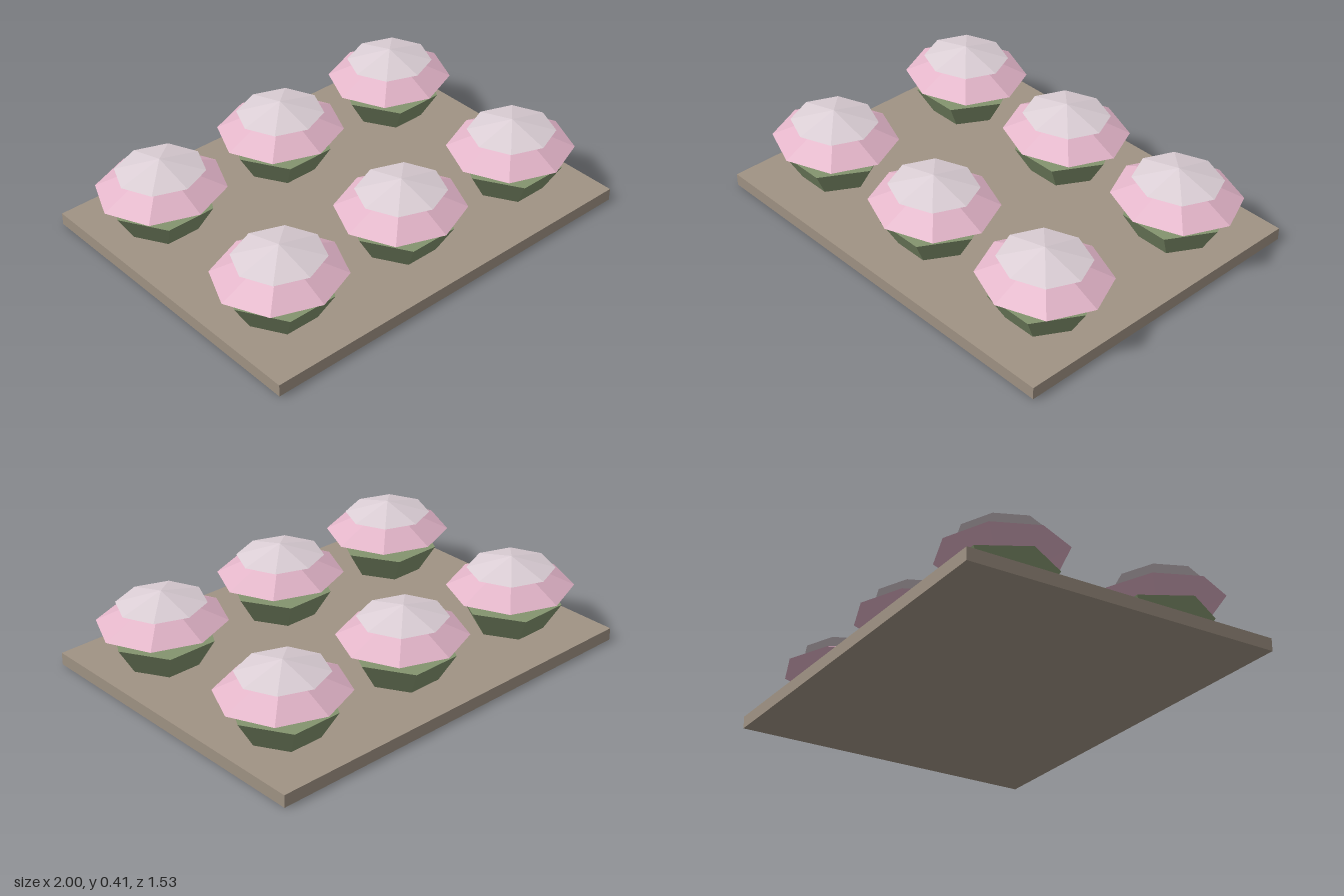
import * as THREE from 'three';

const mat = (name, color) => {
  const m = new THREE.MeshStandardMaterial({ color, flatShading: true });
  m.name = name;
  return m;
};

export function createModel() {
  const slabMat = mat('taupe slab', 0xa09384);
  const leafMat = mat('leaf green', 0x84946f);
  const pinkMat = mat('petal pink', 0xe2b4c8);
  const paleMat = mat('pale pink', 0xdccfd6);

  const model = new THREE.Group();
  model.name = 'flowerTray';

  const add = (parent, name, geometry, material, y) => {
    const mesh = new THREE.Mesh(geometry, material);
    mesh.name = name;
    mesh.position.y = y;
    parent.add(mesh);
  };

  // Eight-sided double cone, slightly narrower in depth
  const doubleCone = (radius, height, depth) =>
    new THREE.LatheGeometry(
      [[0, -height], [radius, 0], [0, height]].map(([x, y]) => new THREE.Vector2(x, y)), 8
    ).scale(1, 1, depth);

  // Hexagonal cup with corners on the x axis
  const cup = new THREE.CylinderGeometry(0.245, 0.165, 0.135, 6).rotateY(Math.PI / 2);
  const petals = doubleCone(0.307, 0.14, 0.923);
  const crown = doubleCone(0.211, 0.057, 0.936);

  add(model, 'baseSlab', new THREE.BoxGeometry(2, 0.06, 1.53), slabMat, 0.03);

  // Two rows of three flowers
  for (const z of [-0.407, 0.407]) {
    for (const x of [-0.692, 0, 0.692]) {
      const flower = new THREE.Group();
      flower.name = 'flower';
      flower.position.set(x, 0, z);
      add(flower, 'leafCup', cup, leafMat, 0.1255);
      add(flower, 'petals', petals, pinkMat, 0.26);
      add(flower, 'crown', crown, paleMat, 0.35);
      model.add(flower);
    }
  }
  return model;
}
